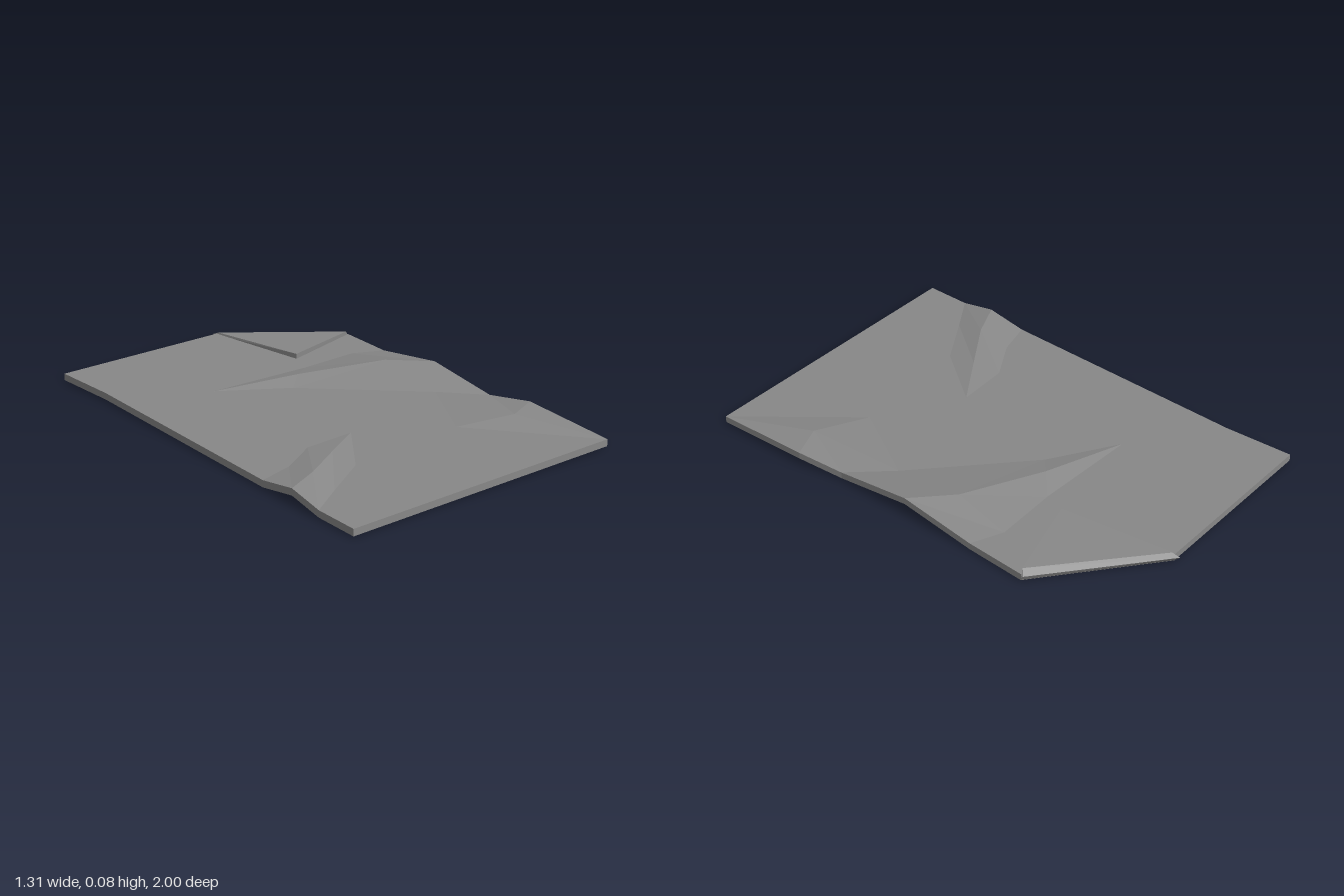
import * as THREE from 'three';
import { ConvexGeometry } from 'three/addons/geometries/ConvexGeometry.js';

const THICK = 0.03;
const FLAT = 0.035;

// Crease and outline points of the upper face: [x, z, height]
const P = {
  // outline
  A: [-0.655, 1], B: [0.655, 1], C: [0.655, 0.56, 0.059], D: [0.617, 0.36],
  E: [0.617, 0.01, 0.083], F: [0.617, -0.33], G: [0.628, -0.597], H: [0.16, -0.977],
  I: [-0.655, -0.973], J: [-0.638, -0.67], K: [-0.655, 0.46], L: [-0.655, 0.64, 0.066], M: [-0.655, 0.8],
  // large wrinkle: tip, ridge, back foot, front foot
  t1: [-0.27, -0.4], r1: [0.1, -0.29, 0.058], r2: [0.46, -0.14, 0.083],
  b1: [0.2, -0.38], b2: [0.48, -0.39], f1: [0.02, -0.22], f2: [0.46, 0.19],
  // small wrinkle on the left edge: tip and ridge
  t2: [0.27, 0.53], s1: [0.51, 0.62, 0.059],
  // wrinkle on the right edge: tip, ridge, back foot, front foot
  t3: [-0.1, 0.31], l1: [-0.3, 0.44, 0.053], l2: [-0.5, 0.57, 0.066],
  c1: [-0.33, 0.32], c2: [-0.5, 0.42], d1: [-0.29, 0.57], d2: [-0.5, 0.7],
  // tips of the hollows below the three wrinkles
  u1: [0.2, -0.24], u2: [0.4, 0.55], u3: [-0.08, 0.58, 0.03],
};

const OUTLINE = 'A B C D E F G H I J K L M';
const UPPER = [
  // flat field around the wrinkles
  'A B t2 f2 f1 t1 b1 b2 F G H I J K c2 c1 t3 d1 d2 M',
  // large wrinkle
  't1 r1 b1', 'r1 r2 b2 b1', 'r2 E F b2', 't1 f1 r1', 'r1 f1 f2 r2', 'r2 f2 D E',
  // small wrinkle
  't2 s1 f2', 'f2 s1 C D', 't2 B s1', 's1 B C',
  // right edge wrinkle
  't3 c1 l1', 'l1 c1 c2 l2', 'l2 c2 K L', 't3 l1 d1', 'l1 d1 d2 l2', 'l2 d2 M L',
];
const LOWER = [
  // flat field, then the hollows
  'A B u2 D u1 F G H I J K u3 M',
  'D E u1', 'E F u1', 'B C u2', 'C D u2', 'K L u3', 'L M u3',
];

const top = (k) => new THREE.Vector3(P[k][0], P[k][2] ?? FLAT, P[k][1]);
const under = (k) => top(k).setY((P[k][2] ?? FLAT) - THICK);

// Triangles of one skin, facing up (side 1) or down (side -1)
function skin(faces, place, side) {
  const points = [];
  for (const face of faces) {
    const keys = face.split(' ');
    const contour = keys.map((k) => new THREE.Vector2(P[k][0], P[k][1]));
    for (const tri of THREE.ShapeUtils.triangulateShape(contour, [])) {
      const [a, b, c] = tri.map((i) => place(keys[i]));
      const normal = b.clone().sub(a).cross(c.clone().sub(a));
      points.push(...(normal.y * side > 0 ? [a, b, c] : [a, c, b]));
    }
  }
  return points;
}

function sheetGeometry() {
  const points = [...skin(UPPER, top, 1), ...skin(LOWER, under, -1)];
  // rim
  const rim = OUTLINE.split(' ');
  rim.forEach((a, i) => {
    const b = rim[(i + 1) % rim.length];
    points.push(under(a), under(b), top(b), under(a), top(b), top(a));
  });
  const geometry = new THREE.BufferGeometry().setFromPoints(points);
  geometry.computeVertexNormals();
  return geometry;
}

export function createModel() {
  const group = new THREE.Group();
  group.name = 'rug';
  const material = new THREE.MeshStandardMaterial({ color: 0x888888, flatShading: true });

  const sheet = new THREE.Mesh(sheetGeometry(), material);
  sheet.name = 'wrinkledSheet';
  group.add(sheet);

  // corner turned over onto the sheet, with a bevelled fold
  const flap = new THREE.Mesh(new ConvexGeometry([
    [0.245, 0.058, -0.49], [0.245, 0.032, -0.49],
    [0.163, 0.042, -0.968], [0.612, 0.052, -0.592],
    [0.155, 0.028, -1], [0.632, 0.03, -0.608],
    [0.16, 0.006, -0.977], [0.628, 0.006, -0.597],
  ].map((p) => new THREE.Vector3(...p))), material);
  flap.name = 'foldedCorner';
  group.add(flap);

  return group;
}
